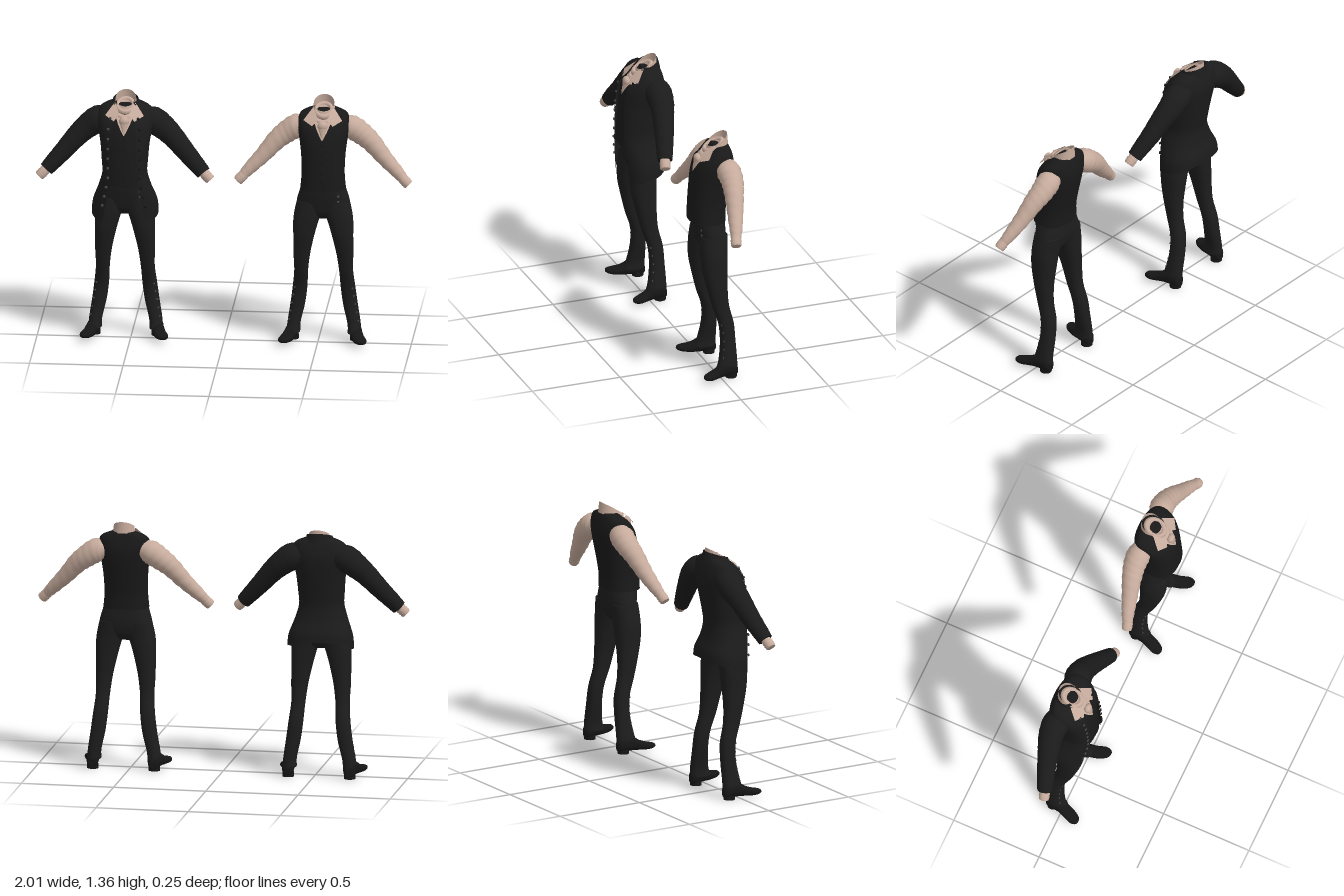
import * as THREE from 'three';

const mat = (name, color) => {
  const m = new THREE.MeshStandardMaterial({ color, side: THREE.DoubleSide });
  m.name = name;
  return m;
};
const M = {
  coat: mat('coat black', 0x1b1b1c),
  vest: mat('waistcoat black', 0x19191a),
  trousers: mat('trouser black', 0x1d1d1e),
  shoe: mat('shoe black', 0x161617),
  shirt: mat('linen beige', 0xc6ab9c),
  button: mat('button grey', 0x48484a),
};

const add = (group, name, geo, material) => {
  const mesh = new THREE.Mesh(geo, material);
  mesh.name = name;
  group.add(mesh);
  return mesh;
};

// Skin over rows of points; rings may be closed and capped
function loft(rows, closed = true, caps = closed) {
  const n = rows[0].length, pos = rows.flat(2), idx = [];
  const cols = closed ? n : n - 1;
  for (let i = 0; i < rows.length - 1; i++) for (let j = 0; j < cols; j++) {
    const a = i * n + j, b = i * n + (j + 1) % n;
    idx.push(a, b, b + n, a, b + n, a + n);
  }
  if (caps) [[rows[0], true], [rows[rows.length - 1], false]].forEach(([r, flip]) => {
    const s = pos.length / 3;
    const c = [0, 1, 2].map(k => r.reduce((t, p) => t + p[k], 0) / n);
    pos.push(...r.flat(), ...c);
    for (let j = 0; j < n; j++) {
      const a = s + j, b = s + (j + 1) % n;
      idx.push(...(flip ? [b, a, s + n] : [a, b, s + n]));
    }
  });
  const g = new THREE.BufferGeometry();
  g.setAttribute('position', new THREE.Float32BufferAttribute(pos, 3));
  g.setIndex(idx);
  g.computeVertexNormals();
  return g;
}

// Smoothly add sections between the given ones
function refine(keys, steps = 4) {
  const out = [], at = i => keys[Math.min(Math.max(i, 0), keys.length - 1)];
  for (let i = 0; i < keys.length - 1; i++) for (let s = 0; s < steps; s++) {
    const t = s / steps;
    out.push(at(i).map((b, k) => {
      const a = at(i - 1)[k], c = at(i + 1)[k], d = at(i + 2)[k];
      return b + 0.5 * t * (c - a + t * (2 * a - 5 * b + 4 * c - d + t * (3 * (b - c) + d - a)));
    }));
  }
  return [...out, at(keys.length - 1)];
}

const E = 0.85; // squareness of body sections
const pw = v => Math.sign(v) * Math.abs(v) ** E;
// Section: y, centre x, front z, back z, half width
const point = ([y, cx, f, b, rx], t) =>
  [cx + rx * pw(Math.cos(t)), y, (f + b) / 2 - (f - b) / 2 * pw(Math.sin(t))];
const ring = (sec, n = 32) => Array.from({ length: n }, (_, j) => point(sec, j / n * Math.PI * 2));
// Front surface depth at x, y
function frontZ(secs, x, y) {
  let i = 0;
  while (i < secs.length - 2 && secs[i + 1][0] < y) i++;
  const t = THREE.MathUtils.clamp((y - secs[i][0]) / (secs[i + 1][0] - secs[i][0]), 0, 1);
  const [, cx, f, b, rx] = secs[i].map((v, k) => v + (secs[i + 1][k] - v) * t);
  const q = Math.min(Math.abs((x - cx) / rx), 1) ** (2 / E);
  return (f + b) / 2 + (f - b) / 2 * (1 - q) ** (E / 2);
}
// Thin panel lying on the front surface; edges are [y, x0, x1]
const panel = (secs, edges, off) => loft(refine(edges, 5).map(([y, a, b]) =>
  Array.from({ length: 9 }, (_, j) => {
    const x = a + (b - a) * j / 8;
    return [x, y, frontZ(secs, x, y) + off];
  })), false);

const VEST = refine([
  [0.872, 0, 0.118, -0.077, 0.122], [0.95, 0, 0.117, -0.08, 0.115], [1.05, 0, 0.11, -0.098, 0.118],
  [1.13, 0, 0.1, -0.113, 0.127], [1.2, 0, 0.078, -0.12, 0.138], [1.25, 0, 0.04, -0.112, 0.135],
  [1.278, 0, 0.005, -0.103, 0.115], [1.3, 0, -0.015, -0.095, 0.06]]);
const PELVIS = refine([
  [0.7, 0, 0.03, -0.03, 0.07], [0.73, 0, 0.065, -0.055, 0.13], [0.79, 0, 0.082, -0.07, 0.142],
  [0.86, 0, 0.095, -0.07, 0.124], [0.92, 0, 0.095, -0.065, 0.108]]);
const LEG = refine([
  [0.05, 0.163, 0.025, -0.093, 0.036], [0.1, 0.16, 0.008, -0.093, 0.035], [0.2, 0.141, -0.008, -0.09, 0.039],
  [0.3, 0.128, -0.003, -0.085, 0.039], [0.4, 0.12, 0.03, -0.062, 0.037], [0.5, 0.115, 0.055, -0.055, 0.045],
  [0.6, 0.104, 0.078, -0.058, 0.056], [0.67, 0.095, 0.083, -0.06, 0.066], [0.73, 0.083, 0.083, -0.062, 0.072],
  [0.8, 0.073, 0.078, -0.068, 0.067]]);
const COAT = refine([
  [0.705, 0, 0.108, -0.128, 0.178], [0.77, 0, 0.112, -0.122, 0.172], [0.85, 0, 0.122, -0.1, 0.143],
  [0.93, 0, 0.126, -0.088, 0.12], [1.0, 0, 0.124, -0.096, 0.123], [1.1, 0, 0.114, -0.115, 0.132],
  [1.2, 0, 0.088, -0.128, 0.15], [1.26, 0, 0.045, -0.118, 0.145], [1.29, 0, 0.012, -0.108, 0.118],
  [1.312, 0, -0.005, -0.1, 0.062]]);
// Half width of the open coat front
const gap = y => y < 0.9 ? 0.075 + (0.9 - y) * 0.2 : y < 1.2 ? 0.072 : 0.072 - (y - 1.2) * 0.25;

// Sleeve from path points [x, y, z, radius], with soft folds
function sleeve(keys, side, fold) {
  const ps = refine(keys, 6), v = p => new THREE.Vector3(p[0] * side, p[1], p[2]);
  return loft(ps.map((p, i) => {
    const t = v(ps[Math.min(i + 1, ps.length - 1)]).sub(v(ps[Math.max(i - 1, 0)])).normalize();
    const a = new THREE.Vector3(0, 0, 1).addScaledVector(t, -t.z).normalize();
    const b = t.clone().cross(a);
    return Array.from({ length: 20 }, (_, j) => {
      const w = j / 20 * Math.PI * 2, r = p[3] * (1 + fold * Math.sin(i * 1.9 + 2 * w));
      return v(p).addScaledVector(a, r * Math.cos(w)).addScaledVector(b, r * Math.sin(w)).toArray();
    });
  }));
}
const SHIRT_ARM = [[0.1, 1.2, -0.05, 0.05], [0.145, 1.19, -0.053, 0.064], [0.2, 1.155, -0.053, 0.06],
  [0.255, 1.11, -0.042, 0.053], [0.325, 1.032, -0.022, 0.043], [0.395, 0.962, 0, 0.034], [0.432, 0.924, 0.014, 0.026]];
const COAT_ARM = [[0.09, 1.21, -0.05, 0.06], [0.145, 1.2, -0.054, 0.073], [0.2, 1.163, -0.054, 0.067],
  [0.255, 1.113, -0.042, 0.059], [0.325, 1.035, -0.022, 0.051], [0.39, 0.965, 0, 0.044], [0.42, 0.932, 0.01, 0.04]];
const CUFF = [[0.4, 0.955, 0.004, 0.024], [0.43, 0.925, 0.014, 0.028], [0.45, 0.905, 0.02, 0.028], [0.458, 0.897, 0.022, 0.025]];

const button = (g, name, x, y, z, r = 0.007, m = M.button) => {
  const b = add(g, name, new THREE.SphereGeometry(r, 10, 6).scale(1, 1, 0.6), m);
  b.position.set(x, y, z);
};

function neckwear(g) {
  // Standing collar, lower at the front
  const row = (y, zc, rx, rz) => Array.from({ length: 28 }, (_, j) => {
    const w = j / 28 * Math.PI * 2, s = -Math.sin(w);
    return [rx * Math.cos(w), y - 0.032 * s, zc + rz * s];
  });
  add(g, 'shirtCollar', loft([row(1.265, -0.035, 0.064, 0.066), row(1.3, -0.04, 0.058, 0.058),
    row(1.325, -0.043, 0.055, 0.053)], true, false), M.shirt);
  // Cravat wraps and knot
  [[1.268, -0.012, 0.056, 0.072, 0.5], [1.288, -0.022, 0.05, 0.062, 0.42]].forEach(([y, z, rx, rz, tilt]) => {
    const t = new THREE.TorusGeometry(1, 0.28, 10, 32).rotateX(Math.PI / 2).scale(rx * 0.85, 0.06, rz * 0.85);
    const m = add(g, 'cravatWrap', t.rotateX(tilt), M.shirt);
    m.position.set(0, y, z);
  });
  const knot = add(g, 'cravatKnot', new THREE.SphereGeometry(1, 16, 12).scale(0.027, 0.026, 0.02), M.shirt);
  knot.position.set(0, 1.228, 0.07);
  const tail = add(g, 'cravatTail', new THREE.ConeGeometry(0.026, 0.075, 14).rotateX(Math.PI).scale(1, 1, 0.5), M.shirt);
  tail.position.set(0, 1.192, 0.085);
  tail.rotation.x = -0.3;
  // Folded collar points
  for (const s of [-1, 1]) add(g, 'collarPoint', loft([
    [[0.025 * s, 1.262, 0.058], [0.055 * s, 1.31, -0.01]],
    [[0.055 * s, 1.228, 0.074], [0.104 * s, 1.252, 0.042]]], false), M.shirt);
}

function outfit(name, coated) {
  const g = new THREE.Group();
  g.name = name;
  add(g, 'trouserSeat', loft(PELVIS.map(s => ring(s))), M.trousers);
  add(g, 'waistcoat', loft(VEST.map(s => ring(s))), M.vest);
  add(g, 'shirtFront', panel(VEST, [[1.155, -0.002, 0.002], [1.2, -0.026, 0.026], [1.25, -0.048, 0.048]], 0.004), M.shirt);
  for (const y of [1.13, 1.08, 1.03, 0.98, 0.93])
    button(g, 'waistcoatButton', 0, y, frontZ(VEST, 0, y) + 0.002, 0.006, M.shoe);
  for (const y of [0.84, 0.81, 0.78]) button(g, 'trouserButton', 0.085, y, frontZ(PELVIS, 0.085, y) + 0.003);
  neckwear(g);

  for (const s of [-1, 1]) {
    const leg = LEG.map(([y, cx, ...r]) => [y, cx * s, ...r]);
    add(g, 'trouserLeg', loft(leg.map(k => ring(k, 24))), M.trousers);
    // Buttons down the outer calf
    for (const y of [0.3, 0.255, 0.21, 0.165, 0.12]) {
      const x = s * (0.153 + (0.3 - y) * 0.17);
      button(g, 'ankleButton', x, y, frontZ(leg, x, y), 0.006);
    }
    // Shoe sections: z, centre x, half width, top, bottom
    const shoe = refine([[-0.092, 0.165, 0.018, 0.06, 0.014], [-0.075, 0.166, 0.032, 0.085, 0.01],
      [-0.01, 0.174, 0.033, 0.088, 0.012], [0.03, 0.185, 0.035, 0.065, 0.012],
      [0.07, 0.2, 0.036, 0.052, 0.014], [0.1, 0.208, 0.024, 0.046, 0.02], [0.11, 0.21, 0.008, 0.038, 0.028]], 3);
    add(g, 'shoe', loft(shoe.map(([z, cx, w, t, b]) => Array.from({ length: 18 }, (_, j) => {
      const a = j / 18 * Math.PI * 2;
      return [cx * s + w * pw(Math.cos(a)), (t + b) / 2 + (t - b) / 2 * pw(Math.sin(a)), z];
    }))), M.shoe);
    const heel = add(g, 'shoeHeel', new THREE.CylinderGeometry(0.031, 0.031, 0.024, 18), M.shoe);
    heel.position.set(0.167 * s, 0.012, -0.058);
    // Sleeves
    add(g, 'shirtCuff', sleeve(CUFF, s, 0.04), M.shirt);
    if (coated) add(g, 'coatSleeve', sleeve(COAT_ARM, s, 0.012), M.coat);
    else add(g, 'shirtSleeve', sleeve(SHIRT_ARM, s, 0.035), M.shirt);
  }
  if (coated) addCoat(g);
  return g;
}

function addCoat(g) {
  // Open-fronted body, hem dropping towards the front
  add(g, 'coatBody', loft(COAT.map(sec => {
    const y = sec[0], drop = 0.045 * Math.max(0, (0.86 - y) / 0.155);
    const a = Math.PI / 2 - Math.acos(Math.min(1, (gap(y) / sec[4]) ** (1 / E)));
    return Array.from({ length: 45 }, (_, j) => {
      const t = -Math.PI / 2 + a + j / 44 * 2 * (Math.PI - a), p = point(sec, t);
      p[1] += drop * Math.sin(t);
      return p;
    });
  }), false), M.coat);
  // Standing collar
  const collar = (y, rx, rz) => Array.from({ length: 25 }, (_, j) => {
    const w = -0.7 + j / 24 * (Math.PI + 1.4);
    return [rx * Math.cos(w), y + 0.022 * Math.sin(w), -0.038 - rz * Math.sin(w)];
  });
  add(g, 'coatCollar', loft([collar(1.27, 0.088, 0.078), collar(1.3, 0.074, 0.071), collar(1.318, 0.069, 0.066)], false), M.coat);
  for (const s of [-1, 1]) {
    const lapel = [[1.0, 0.071, 0.078], [1.1, 0.068, 0.1], [1.2, 0.062, 0.115], [1.25, 0.055, 0.09]];
    add(g, 'lapel', panel(COAT, lapel.map(([y, a, b]) => s > 0 ? [y, a, b] : [y, -b, -a]), 0.005), M.coat);
    // Front buttons
    for (let i = 0; i < 10; i++) {
      const y = 1.24 - i * 0.053, x = s * (gap(y) + 0.012);
      button(g, 'coatButton', x, y, frontZ(COAT, x, y) + 0.006, 0.008, s < 0 ? M.button : M.shoe);
    }
  }
}

export function createModel() {
  const model = new THREE.Group();
  model.name = 'formalOutfits';
  const a = outfit('outfitWithCoat', true), b = outfit('outfitWithoutCoat', false);
  a.position.x = -0.53;
  b.position.x = 0.53;
  model.add(a, b);
  return model;
}
